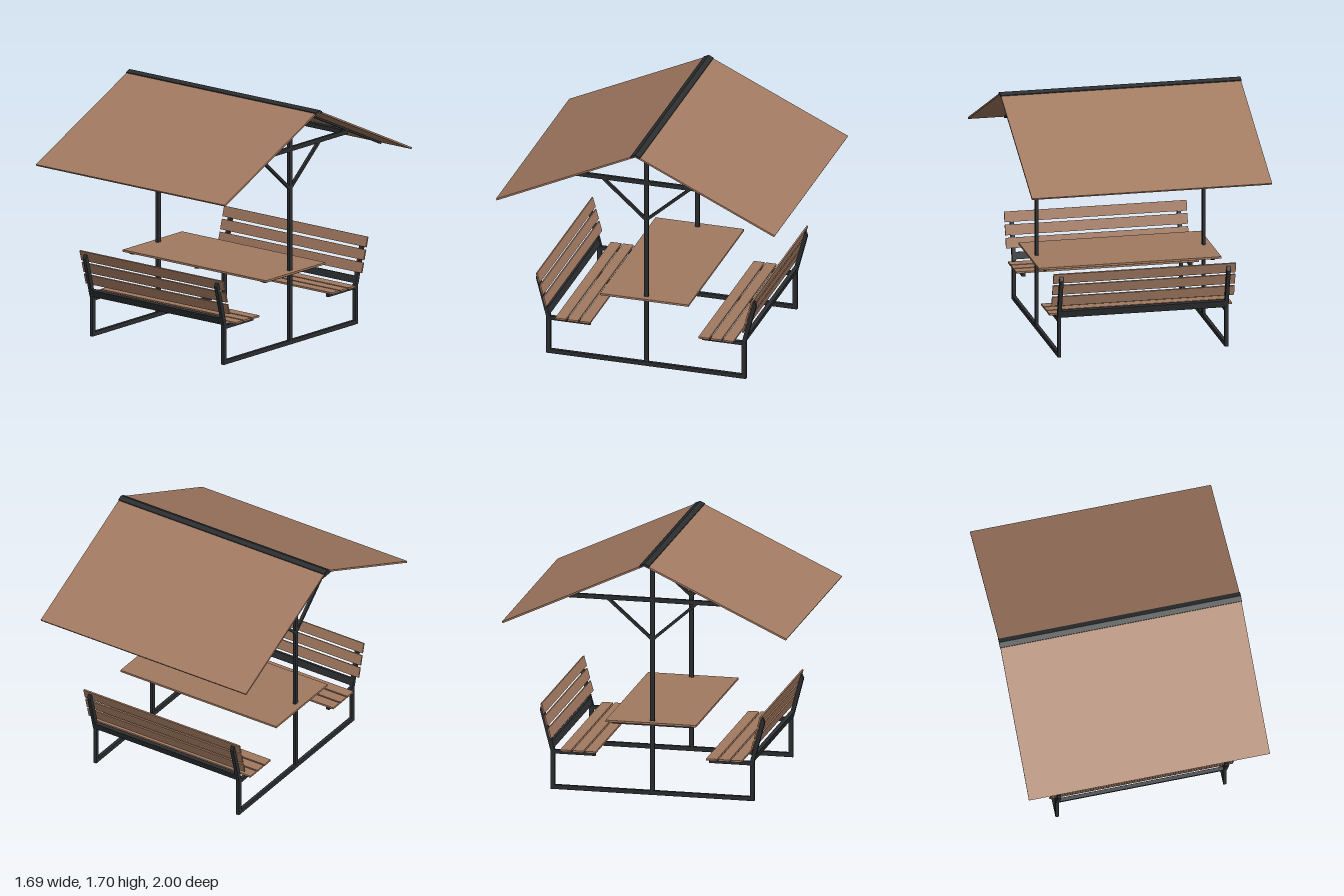
import * as THREE from 'three';

const wood = new THREE.MeshStandardMaterial({ color: 0xa27a61 });
wood.name = 'brownWood';
const steel = new THREE.MeshStandardMaterial({ color: 0x2b2d2f });
steel.name = 'darkSteel';

const FRAME_X = 0.586;

function box(parent, name, mat, w, h, d, x, y, z) {
  const m = new THREE.Mesh(new THREE.BoxGeometry(w, h, d), mat);
  m.name = name;
  m.position.set(x, y, z);
  parent.add(m);
  return m;
}

// Straight bar between two (z, y) points in a plane of constant x
function bar(parent, name, mat, x, [z0, y0], [z1, y1], width, thick) {
  const m = box(parent, name, mat, width, thick, Math.hypot(z1 - z0, y1 - y0),
    x, (y0 + y1) / 2, (z0 + z1) / 2);
  m.rotation.x = -Math.atan2(y1 - y0, z1 - z0);
  return m;
}

// Side profile given as (z, y) points, extruded along x
function profile(parent, name, mat, points, x, width) {
  const shape = new THREE.Shape(points.map(([z, y]) => new THREE.Vector2(-z, y)));
  const geo = new THREE.ExtrudeGeometry(shape, { depth: width, bevelEnabled: false });
  geo.translate(0, 0, -width / 2);
  geo.rotateY(Math.PI / 2);
  const m = new THREE.Mesh(geo, mat);
  m.name = name;
  m.position.x = x;
  parent.add(m);
}

// One bench with its half of the roof, built on the +z side
function createHalf() {
  const half = new THREE.Group();

  for (const x of [-FRAME_X, FRAME_X]) {
    box(half, 'benchLeg', steel, 0.024, 0.28, 0.03, x, 0.14, 0.701);
    box(half, 'seatSupport', steel, 0.024, 0.027, 0.316, x, 0.2655, 0.558);
    profile(half, 'backUpright', steel,
      [[0.686, 0.275], [0.717, 0.28], [0.79, 0.562], [0.777, 0.592], [0.768, 0.59]], x, 0.026);
    bar(half, 'rafter', steel, x, [0, 1.68], [0.967, 1.229], 0.02, 0.018);
    bar(half, 'brace', steel, x, [0, 1.1], [0.31, 1.372], 0.02, 0.02);
  }

  // Lengthwise rails
  bar(half, 'backRail', steel, 0, [0.705, 0.286], [0.7175, 0.334], FRAME_X * 2, 0.026);
  box(half, 'purlin', steel, FRAME_X * 2, 0.03, 0.03, 0, 1.381, 0.595);

  // Seat and backrest slats
  for (let i = 0; i < 3; i++) {
    box(half, 'seatSlat', wood, 1.28, 0.013, 0.076, 0, 0.286, 0.426 + i * 0.087);
    const y = 0.367 + i * 0.087, z = 0.705 + i * 0.0235;
    bar(half, 'backSlat', wood, 0, [z, y], [z + 0.019, y + 0.07], 1.28, 0.011);
  }

  // Roof panel
  profile(half, 'roofPanel', wood,
    [[0, 1.698], [0, 1.685], [0.994, 1.221], [1, 1.232]], 0, 1.684);
  return half;
}

export function createModel() {
  const model = new THREE.Group();
  model.name = 'coveredPicnicTable';

  const front = createHalf();
  front.name = 'frontBenchAndRoof';
  const back = createHalf();
  back.name = 'backBenchAndRoof';
  back.rotation.y = Math.PI;
  model.add(front, back);

  // Central frames
  for (const x of [-FRAME_X, FRAME_X]) {
    box(model, 'baseRail', steel, 0.024, 0.03, 1.43, x, 0.015, 0);
    box(model, 'post', steel, 0.02, 1.68, 0.032, x, 0.84, 0);
    box(model, 'tieBeam', steel, 0.02, 0.031, 1.22, x, 1.381, 0);
    profile(model, 'tableBracket', steel,
      [[-0.315, 0.509], [-0.275, 0.49], [0.275, 0.49], [0.315, 0.509]], x, 0.024);
  }
  box(model, 'tableRail', steel, FRAME_X * 2, 0.018, 0.024, 0, 0.499, 0);
  box(model, 'ridgeBeam', steel, FRAME_X * 2, 0.025, 0.025, 0, 1.665, 0);

  // Tabletop
  box(model, 'tabletop', wood, 1.28, 0.014, 0.635, 0, 0.516, 0);

  // Folded ridge cap
  profile(model, 'ridgeCap', steel,
    [[0, 1.703], [-0.034, 1.688], [-0.034, 1.674], [0, 1.69], [0.034, 1.674], [0.034, 1.688]], 0, 1.69);

  return model;
}
